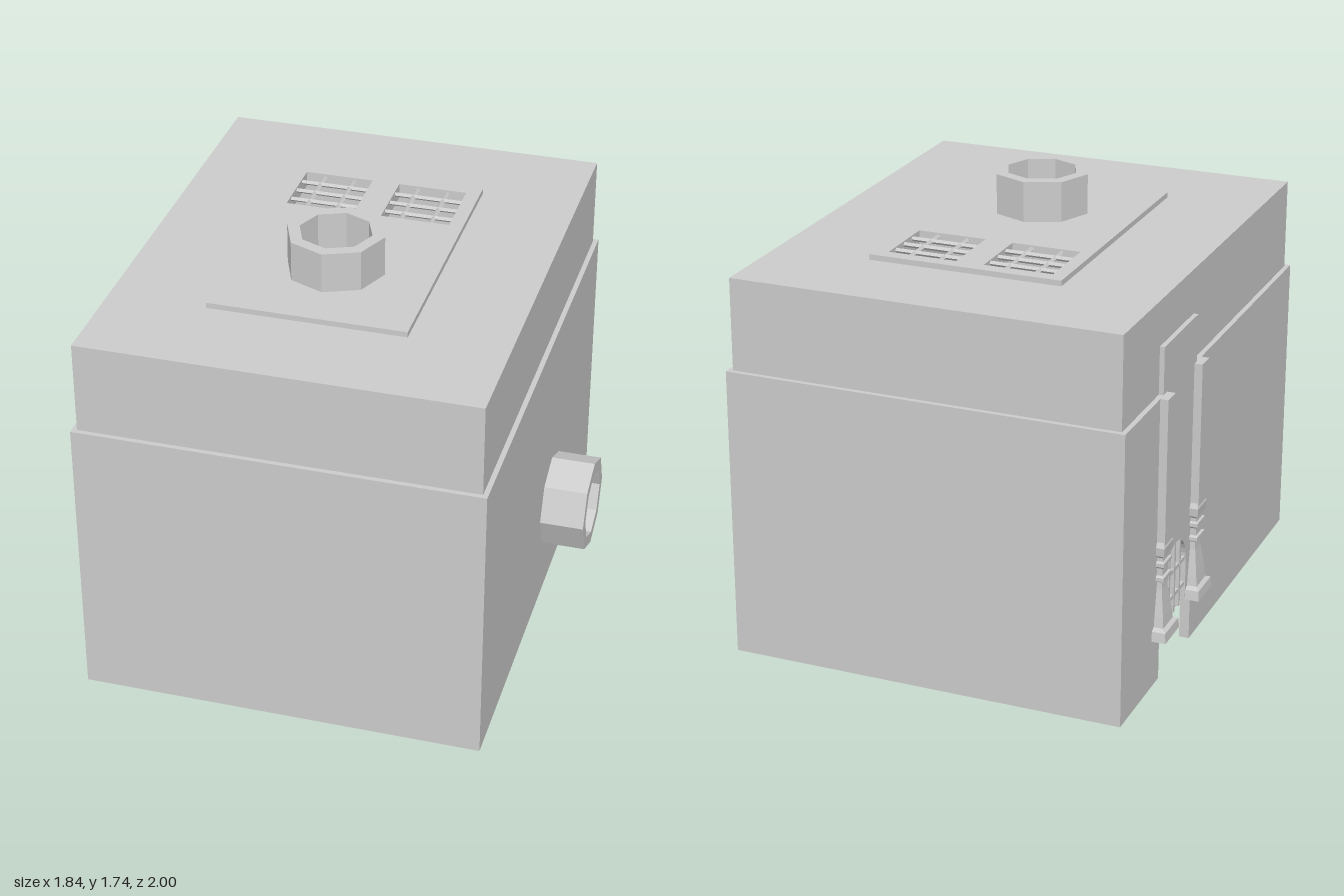
import * as THREE from 'three';

const mat = new THREE.MeshStandardMaterial({ color: 0xcccccc, flatShading: true });

function add(parent, name, geo) {
  const mesh = new THREE.Mesh(geo, mat);
  mesh.name = name;
  parent.add(mesh);
  return mesh;
}

// Box given by its limits on each axis
function box(parent, name, x0, x1, y0, y1, z0, z1) {
  const geo = new THREE.BoxGeometry(x1 - x0, y1 - y0, z1 - z0);
  geo.translate((x0 + x1) / 2, (y0 + y1) / 2, (z0 + z1) / 2);
  return add(parent, name, geo);
}

const points = list => list.map(p => new THREE.Vector2(...p));
const rect = (a0, a1, b0, b1) => points([[a0, b0], [a1, b0], [a1, b1], [a0, b1]]);

// Octagon with its corners on the axes
const octagon = (cx, cy, r) => Array.from({ length: 8 }, (_, i) =>
  new THREE.Vector2(cx + r * Math.cos(i * Math.PI / 4), cy + r * Math.sin(i * Math.PI / 4)));

function extrude(outline, holes, depth) {
  const shape = new THREE.Shape(outline);
  shape.holes = holes.map(h => new THREE.Path(h));
  return new THREE.ExtrudeGeometry(shape, { depth, bevelEnabled: false });
}

// Horizontal slab: outline in (x, -z), rising from y0 to y1
function slab(parent, name, outline, holes, y0, y1) {
  return add(parent, name, extrude(outline, holes, y1 - y0).rotateX(-Math.PI / 2).translate(0, y0, 0));
}

// Upright wall: outline in (-z, y), running from x0 to x1
function wall(parent, name, outline, holes, x0, x1) {
  return add(parent, name, extrude(outline, holes, x1 - x0).rotateY(Math.PI / 2).translate(x0, 0, 0));
}

// Crossed bars, set on edge, over a square opening
function grate(parent, name, cx, cz, y) {
  const g = new THREE.Group();
  g.name = name;
  const length = 0.284, b = 0.014;
  for (const dx of [-0.063, 0.06]) {
    add(g, 'longBar', new THREE.BoxGeometry(b, b, length).rotateZ(Math.PI / 4).translate(cx + dx, y, cz));
  }
  for (const dz of [-0.075, 0, 0.075]) {
    add(g, 'crossBar', new THREE.BoxGeometry(length, b, b).rotateX(Math.PI / 4).translate(cx, y, cz + dz));
  }
  parent.add(g);
}

// Gate post: square turned foot below a plain shaft
function gatePost(parent, x, z) {
  const g = new THREE.Group();
  g.name = 'gatePost';
  const profile = points([
    [0, 0.2], [0.08, 0.2], [0.075, 0.24], [0.055, 0.25], [0.05, 0.29], [0.032, 0.4], [0.03, 0.43],
    [0.046, 0.44], [0.046, 0.455], [0.034, 0.46], [0.034, 0.49], [0.046, 0.5], [0.046, 0.515],
    [0.036, 0.52], [0.036, 0.535], [0.046, 0.545], [0.05, 0.58], [0.04, 0.6], [0, 0.6],
  ].map(([r, y]) => [r * Math.SQRT2, y]));
  const foot = add(g, 'turnedFoot', new THREE.LatheGeometry(profile, 4, Math.PI / 4));
  foot.scale.x = 0.75;
  box(g, 'shaft', -0.035, 0.035, 0.59, 1.18, -0.04, 0.04);
  g.position.set(x, 0, z);
  parent.add(g);
}

export function createModel() {
  const model = new THREE.Group();
  model.name = 'bunker';

  // Side pipe and roof pipe positions
  const R = 0.195, r = 0.145;
  const sideU = 0.195, sideY = 0.395, roofX = -0.06, roofZ = 0.195;

  // Lower walls, with the gateway open in one side
  const lower = new THREE.Group();
  lower.name = 'lowerWalls';
  box(lower, 'frontWall', -0.865, 0.742, 0, 1.18, 0.96, 1);
  box(lower, 'backWall', -0.865, 0.742, 0, 1.18, -1, -0.96);
  wall(lower, 'pipeWall', rect(-0.96, 0.96, 0, 1.18), [octagon(sideU, sideY, r)], 0.7, 0.742);
  box(lower, 'gateWallFront', -0.865, -0.825, 0, 1.18, -0.22, 0.96);
  box(lower, 'gateWallBack', -0.865, -0.825, 0, 1.18, -0.96, -0.58);
  model.add(lower);

  // Upper walls, stepped in slightly
  const upper = new THREE.Group();
  upper.name = 'upperWalls';
  box(upper, 'frontWall', -0.845, 0.722, 1.18, 1.55, 0.95, 0.98);
  box(upper, 'backWall', -0.845, 0.722, 1.18, 1.55, -0.98, -0.95);
  box(upper, 'sideWall', 0.69, 0.722, 1.18, 1.55, -0.95, 0.95);
  box(upper, 'sideWall', -0.845, -0.815, 1.18, 1.55, -0.95, 0.95);
  model.add(upper);

  // Roof and raised plate share the vent and pipe openings
  const ventX = [-0.26, 0.133], ventZ = -0.395;
  const openings = [
    ...ventX.map(x => rect(x - 0.14, x + 0.14, -ventZ - 0.14, -ventZ + 0.14)),
    octagon(roofX, -roofZ, r),
  ];
  slab(model, 'roof', rect(-0.815, 0.69, -0.95, 0.95), openings, 1.51, 1.55);
  slab(model, 'roofPlate', rect(-0.455, 0.33, -0.585, 0.59), openings, 1.55, 1.572);
  for (const x of ventX) grate(model, 'roofGrate', x, ventZ, 1.558);

  // Octagonal pipes
  slab(model, 'roofPipe', octagon(roofX, -roofZ, R), [octagon(roofX, -roofZ, r)], 1.572, 1.735);
  wall(model, 'sidePipe', octagon(sideU, sideY, R), [octagon(sideU, sideY, r)], 0.742, 0.92);

  // Raised floor, notched at the front, with drain and block recesses
  const floorOutline = points([
    [-0.825, -0.96], [-0.45, -0.96], [-0.45, -0.37], [-0.26, -0.37], [-0.26, -0.96],
    [0.7, -0.96], [0.7, 0.96], [-0.825, 0.96],
  ]);
  slab(model, 'floor', floorOutline, [
    rect(roofX - 0.14, roofX + 0.14, -roofZ - 0.14, -roofZ + 0.14),
    rect(-0.53, -0.33, -0.23, 0.16),
    rect(0.34, 0.48, 0.56, 0.7),
  ], 0.16, 0.2);
  grate(model, 'floorGrate', roofX, roofZ, 0.18);
  box(model, 'longBlock', -0.55, -0.31, 0.2, 0.4, -0.21, 0.28);
  box(model, 'smallBlock', 0.33, 0.49, 0.2, 0.3, -0.71, -0.55);

  // Low crate standing askew beside the drain
  const crate = add(model, 'crate', new THREE.BoxGeometry(0.36, 0.1, 0.34));
  crate.position.set(-0.05, 0.25, 0.4);
  crate.rotation.y = -0.09;

  // Gate panel with an arched opening
  const gateU = 0.4, half = 0.12, spring = 0.38;
  const panel = new THREE.Shape();
  panel.moveTo(0.21, 0.2);
  panel.lineTo(gateU - half, 0.2);
  panel.lineTo(gateU - half, spring);
  panel.absarc(gateU, spring, half, Math.PI, 0, true);
  panel.lineTo(gateU + half, 0.2);
  panel.lineTo(0.59, 0.2);
  panel.lineTo(0.59, 1.37);
  panel.lineTo(0.21, 1.37);
  panel.closePath();
  const gate = new THREE.Group();
  gate.name = 'gate';
  add(gate, 'gatePanel', new THREE.ExtrudeGeometry(panel, { depth: 0.03, bevelEnabled: false, curveSegments: 8 })
    .rotateY(Math.PI / 2).translate(-0.864, 0, 0));

  // Gate bars trimmed to the arch
  for (const d of [-0.06, 0, 0.06]) {
    const top = spring + Math.sqrt(half * half - d * d);
    box(gate, 'uprightBar', -0.861, -0.845, 0.2, top, -gateU + d - 0.008, -gateU + d + 0.008);
  }
  for (const y of [0.27, 0.38]) {
    box(gate, 'crossBar', -0.859, -0.847, y - 0.008, y + 0.008, -gateU - half, -gateU + half);
  }
  model.add(gate);

  // Posts flank the gate outside and inside
  for (const x of [-0.862, -0.82]) {
    for (const z of [-0.59, -0.2]) gatePost(model, x, z);
  }
  return model;
}
